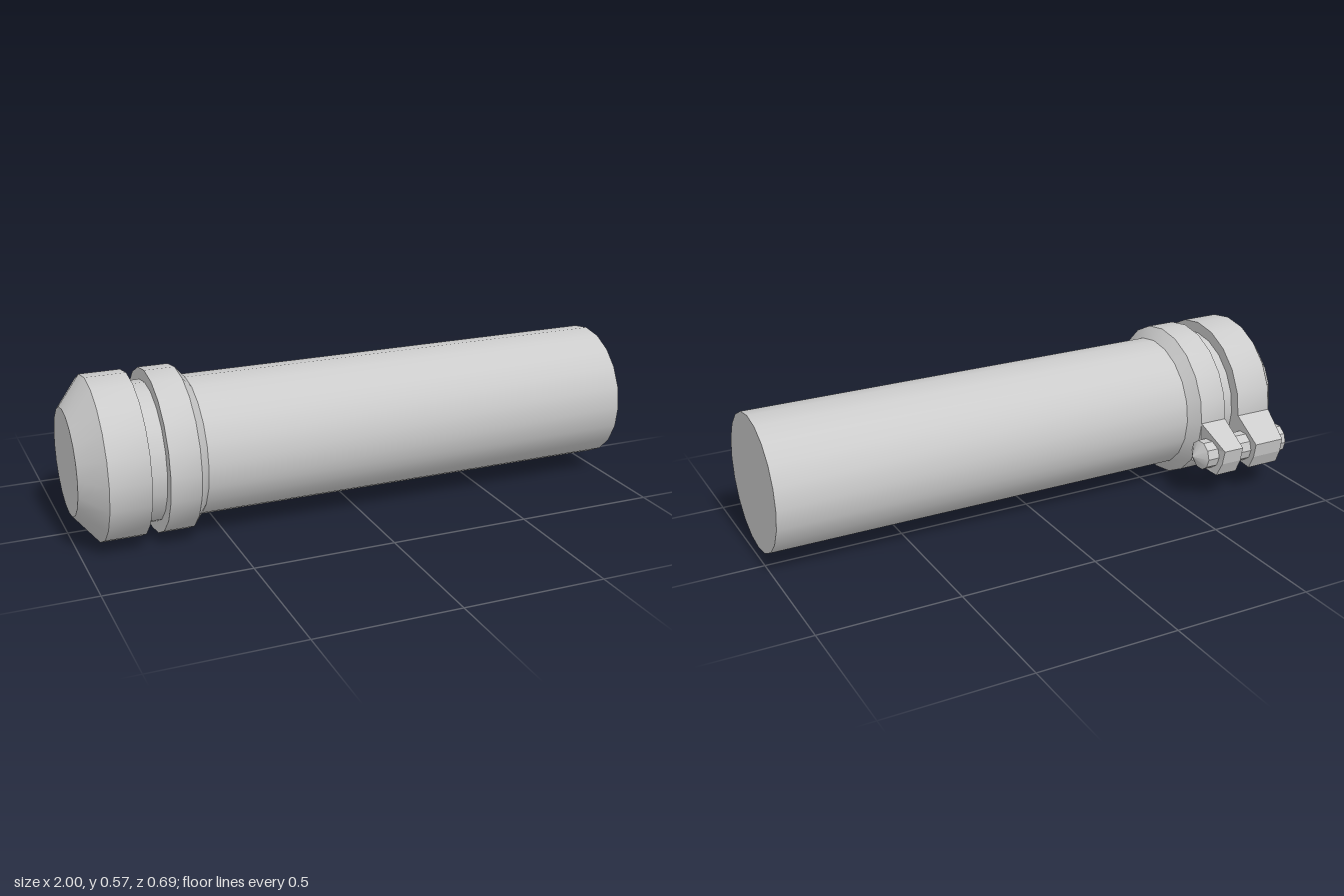
import * as THREE from 'three';
import { toCreasedNormals } from 'three/addons/utils/BufferGeometryUtils.js';

const material = new THREE.MeshStandardMaterial({ color: 0xcccccc });

function addMesh(group, name, geometry) {
  const mesh = new THREE.Mesh(geometry, material);
  mesh.name = name;
  group.add(mesh);
  return mesh;
}

// Turned part lying along x; profile is a list of [radius, x]
function turned(profile, sides, y, z) {
  const points = profile.map(([r, x]) => new THREE.Vector2(r, x));
  const geometry = toCreasedNormals(new THREE.LatheGeometry(points, sides), 0.5);
  return geometry.rotateZ(-Math.PI / 2).translate(0, y, z);
}

// Clamp ear: outline in (-z, y), its outer face tapering towards the tip
function ear(inner, outerRoot, outerTip) {
  const outline = [[0.1, 0.17], [0.17, 0.12], [0.308, 0.108], [0.333, 0.16],
    [0.343, 0.213], [0.225, 0.286], [0.1, 0.286]].map(([u, y]) => new THREE.Vector2(u, y));
  const geometry = new THREE.ExtrudeGeometry(new THREE.Shape(outline),
    { depth: 1, bevelEnabled: false }).rotateY(Math.PI / 2);
  const pos = geometry.attributes.position;
  for (let i = 0; i < pos.count; i++) {
    const t = THREE.MathUtils.clamp((-pos.getZ(i) - 0.225) / 0.118, 0, 1);
    const outer = THREE.MathUtils.lerp(outerRoot, outerTip, t);
    const ends = [Math.min(inner, outer), Math.max(inner, outer)];
    pos.setX(i, ends[pos.getX(i) > 0.5 ? 1 : 0]);
  }
  geometry.computeVertexNormals();
  return geometry;
}

export function createModel() {
  const group = new THREE.Group();
  const y = 0.286, z = 0.06;

  // Long pipe with closed ends
  addMesh(group, 'pipe', turned([[0, -0.95], [0.243, -0.9], [0.243, 1], [0, 1]], 20, y, z));

  // Chamfered end cap and clamp collar, separated by a groove
  addMesh(group, 'endCap', turned([[0, -1], [0.185, -1], [0.284, -0.92],
    [0.284, -0.78], [0, -0.78]], 20, y, z));
  addMesh(group, 'collar', turned([[0, -0.72], [0.284, -0.72], [0.284, -0.615],
    [0.243, -0.58], [0, -0.58]], 20, y, z));

  // Pair of ears drawn together by the bolt
  addMesh(group, 'capEar', ear(-0.78, -0.92, -0.9));
  addMesh(group, 'collarEar', ear(-0.72, -0.615, -0.64));
  addMesh(group, 'bolt', turned([[0, -0.975], [0.055, -0.94], [0.055, -0.59],
    [0, -0.555]], 10, 0.18, -0.26));

  return group;
}
